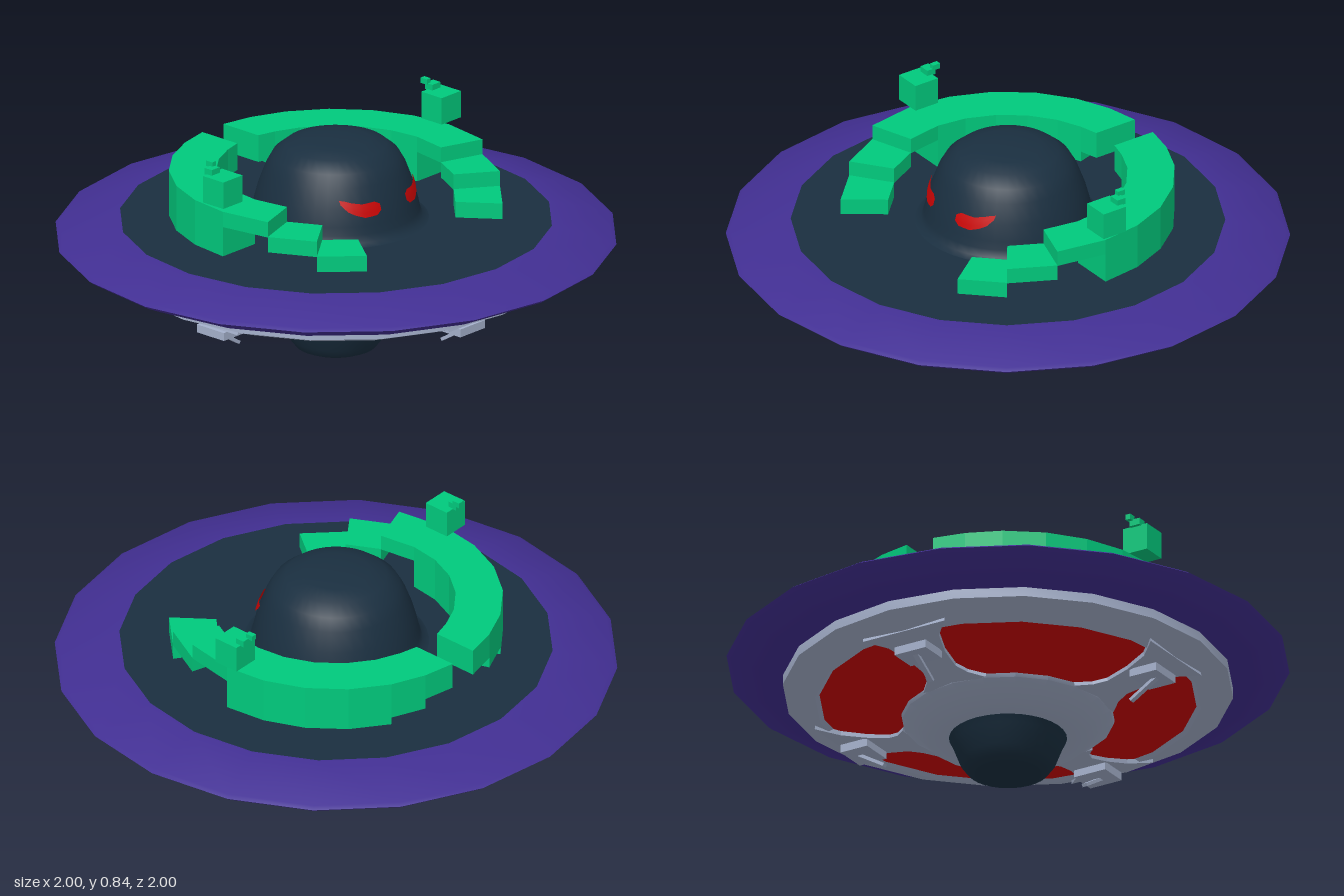
import * as THREE from 'three';
import { toCreasedNormals } from 'three/addons/utils/BufferGeometryUtils.js';

const mat = (name, color) => {
  const m = new THREE.MeshStandardMaterial({ color });
  m.name = name;
  return m;
};

export function createModel() {
  const root = new THREE.Group();
  root.name = 'flyingSaucer';
  const navy = mat('navy', 0x1a2f40);
  const purple = mat('purple', 0x422f93);
  const green = mat('green', 0x00c97c);
  const grey = mat('blueGrey', 0xa5b1cc);
  const red = mat('red', 0xd00000);
  const eyeRed = mat('eyeRed', 0xc80404);
  eyeRed.side = THREE.DoubleSide;

  const add = (parent, name, geo, material) => {
    const mesh = new THREE.Mesh(geo, material);
    mesh.name = name;
    parent.add(mesh);
    return mesh;
  };
  const lathe = (name, pts, material, sides = 20) => add(root, name, toCreasedNormals(
    new THREE.LatheGeometry(pts.map(p => new THREE.Vector2(...p)), sides), 0.9), material);

  // Hull, all turned around the vertical axis
  lathe('rim', [[0.74, 0.36], [0.8, 0.36], [0.92, 0.387], [0.985, 0.418], [1, 0.43],
    [0.985, 0.44], [0.78, 0.491], [0.765, 0.491]], purple);
  lathe('deck', [[0.77, 0.491], [0.28, 0.493]], navy);
  const domeProfile = [[0.33, 0.493], [0.308, 0.503], [0.298, 0.53], [0.292, 0.56], [0.276, 0.62],
    [0.25, 0.69], [0.225, 0.735], [0.18, 0.772], [0.12, 0.788], [0.06, 0.793], [0, 0.795]];
  lathe('dome', domeProfile, navy, 40);
  lathe('undersideRing', [[0.66, 0.293], [0.685, 0.278], [0.8, 0.325], [0.8, 0.362]], grey);
  lathe('redPanels', [[0.33, 0.21], [0.69, 0.292]], red);
  lathe('hub', [[0.2, 0.14], [0.29, 0.14], [0.345, 0.195], [0.375, 0.207], [0.385, 0.24]], grey);
  lathe('bottomBowl', [[0, 0], [0.115, 0], [0.145, 0.013], [0.17, 0.045], [0.197, 0.115],
    [0.212, 0.145]], navy, 32);

  // Four flared spokes with a hanging plate and leg
  const half = [[0.13, -0.03], [0.085, 0.02], [0.065, 0.07], [0.075, 0.16], [0.105, 0.25], [0.17, 0.32]];
  const spokeShape = new THREE.Shape([...half, ...half.map(([x, y]) => [-x, y]).reverse()]
    .map(p => new THREE.Vector2(...p)));
  const spokeGeo = new THREE.ExtrudeGeometry(spokeShape, { depth: 0.04, bevelEnabled: false });
  spokeGeo.rotateX(Math.PI / 2).rotateX(-0.2155).translate(0, 0.252, 0.38);
  for (let i = 0; i < 4; i++) {
    const arm = new THREE.Group();
    arm.name = 'spokeAssembly';
    arm.rotation.y = i * Math.PI / 2;
    root.add(arm);
    add(arm, 'spoke', spokeGeo, grey);
    add(arm, 'legPlate', new THREE.BoxGeometry(0.13, 0.03, 0.11), grey).position.set(0, 0.236, 0.603);
    const leg = add(arm, 'leg', new THREE.BoxGeometry(0.02, 0.012, 0.125), grey);
    leg.position.set(0, 0.194, 0.567);
    leg.rotation.x = -0.55;
  }

  // A curved block between two angles measured from the front, side is +1 or -1
  const arcBlock = (parent, name, side, from, to, bottom, top) => {
    const n = Math.max(1, Math.round((to - from) / 17));
    const outer = [], inner = [];
    for (let i = 0; i <= n; i++) {
      const a = THREE.MathUtils.degToRad(from + (to - from) * i / n);
      const at = r => new THREE.Vector2(side * Math.max(0.055, r * Math.sin(a)), -r * Math.cos(a));
      outer.push(at(0.593));
      inner.unshift(at(0.425));
    }
    const geo = new THREE.ExtrudeGeometry(new THREE.Shape([...outer, ...inner]),
      { depth: top - bottom, bevelEnabled: false });
    geo.rotateX(-Math.PI / 2).translate(0, bottom, 0);
    add(parent, name, geo, green);
  };

  // Pixel-stepped arms, floating hands and eyes, mirrored
  const radiusAt = y => {
    const i = Math.max(1, domeProfile.findIndex(p => p[1] >= y));
    const [r0, y0] = domeProfile[i - 1], [r1, y1] = domeProfile[i];
    return r0 + (r1 - r0) * (y - y0) / (y1 - y0);
  };
  const eyeColumns = [[0.066, 0.608, 0.63], [0.085, 0.593, 0.64], [0.13, 0.59, 0.637],
    [0.16, 0.602, 0.644], [0.178, 0.614, 0.651], [0.192, 0.638, 0.654]];
  for (const side of [1, -1]) {
    const arm = new THREE.Group();
    arm.name = side > 0 ? 'leftArm' : 'rightArm';
    root.add(arm);
    arcBlock(arm, 'armTip', side, 36.8, 54, 0.505, 0.564);
    arcBlock(arm, 'armLowerStep', side, 54, 71.5, 0.562, 0.62);
    arcBlock(arm, 'armUpperStep', side, 71.5, 90, 0.618, 0.676);
    arcBlock(arm, 'armBack', side, 90, 150, 0.507, 0.676);
    arcBlock(arm, 'armBackStep', side, 150, 163, 0.535, 0.676);
    arcBlock(arm, 'armEnd', side, 163, 177, 0.575, 0.676);

    const hand = new THREE.Group();
    hand.name = 'floatingBlock';
    arm.add(hand);
    const box = (name, w, h, d, x, y, z) =>
      add(hand, name, new THREE.BoxGeometry(w, h, d), green).position.set(side * x, y, z);
    box('block', 0.1, 0.1, 0.098, 0.572, 0.752, -0.02);
    box('knob', 0.042, 0.024, 0.035, 0.578, 0.811, -0.065);
    box('knobTip', 0.02, 0.02, 0.03, 0.562, 0.829, -0.085);

    // Eye wrapped on the dome
    const pos = [], idx = [], cols = 10, rows = 3;
    for (let i = 0; i <= cols; i++) {
      const t = i / cols * (eyeColumns.length - 1);
      const k = Math.min(Math.floor(t), eyeColumns.length - 2);
      const [x, lo, hi] = eyeColumns[k].map((v, j) => v + (eyeColumns[k + 1][j] - v) * (t - k));
      for (let j = 0; j <= rows; j++) {
        const y = lo + (hi - lo) * j / rows;
        const r = radiusAt(y) + 0.007;
        pos.push(side * x, y, Math.sqrt(r * r - x * x));
        if (i < cols && j < rows) {
          const a = i * (rows + 1) + j, b = a + rows + 1;
          if (side > 0) idx.push(a, b, b + 1, a, b + 1, a + 1);
          else idx.push(a, b + 1, b, a, a + 1, b + 1);
        }
      }
    }
    const eye = new THREE.BufferGeometry();
    eye.setAttribute('position', new THREE.Float32BufferAttribute(pos, 3));
    eye.setIndex(idx);
    eye.computeVertexNormals();
    add(root, side > 0 ? 'leftEye' : 'rightEye', eye, eyeRed);
  }
  return root;
}
